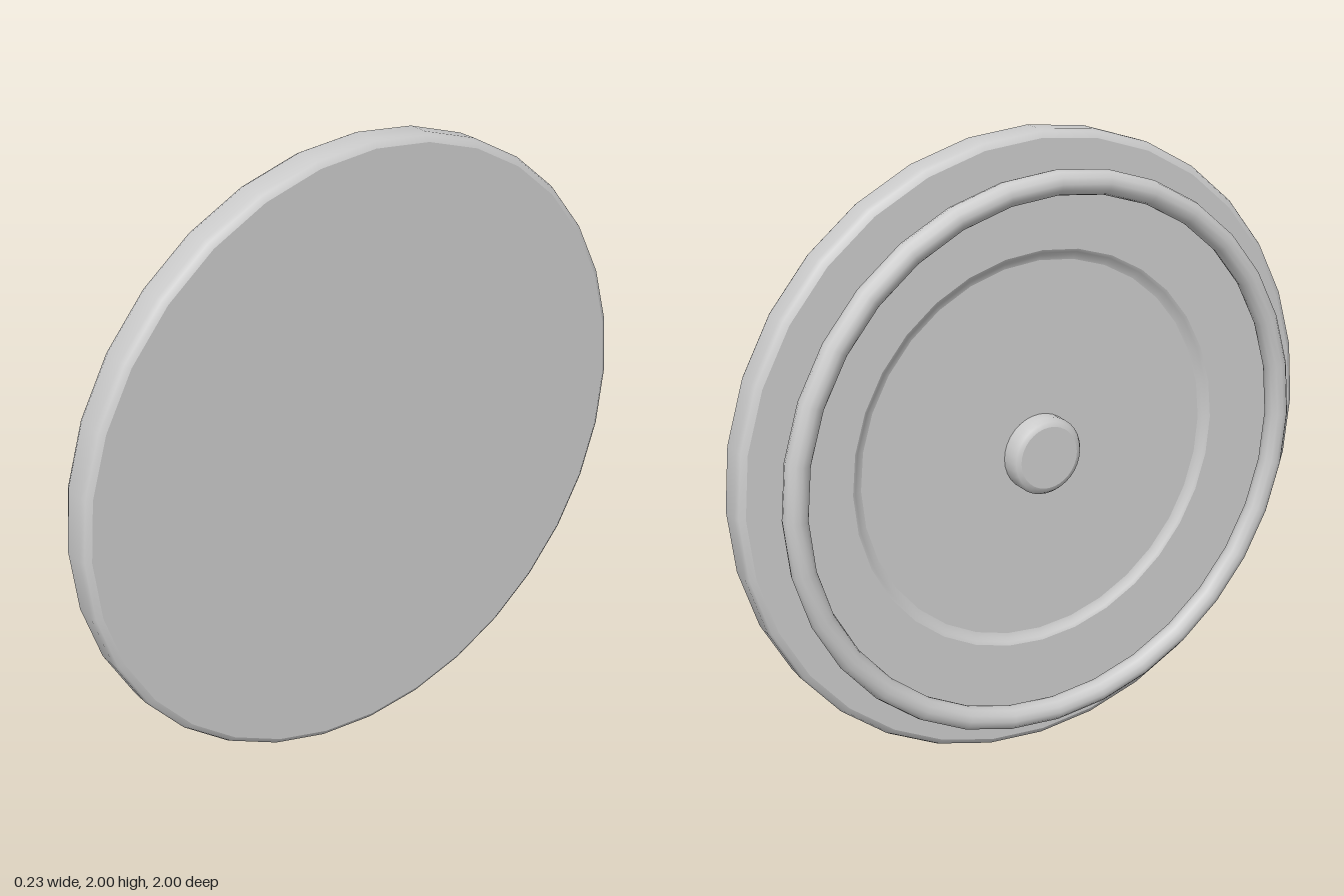
import * as THREE from 'three';
import { mergeGeometries } from 'three/addons/utils/BufferGeometryUtils.js';

const SEGMENTS = 32;
const material = new THREE.MeshStandardMaterial({ color: 0xcccccc });

// Revolves [radius, x] profiles about the x axis; shading is creased between profiles.
function turned(name, ...profiles) {
  const parts = profiles.map((profile) => {
    const points = profile.map(([r, x]) => new THREE.Vector2(r, x));
    return new THREE.LatheGeometry(points, SEGMENTS).rotateZ(-Math.PI / 2);
  });
  const mesh = new THREE.Mesh(mergeGeometries(parts), material);
  mesh.name = name;
  return mesh;
}

export function createModel() {
  const model = new THREE.Group();
  model.name = 'roundDisc';

  // Thick disc with a rounded rim and a shallow recess in its -x face
  const disc = turned('disc',
    [[0, 0.02], [0.61, 0.02]],
    [[0.61, 0.02], [0.625, 0.015], [0.635, 0.005], [0.645, 0]],
    [[0.645, 0], [0.975, 0]],
    [[0.975, 0], [0.993, 0.01], [1, 0.025], [1, 0.089], [0.993, 0.104], [0.975, 0.114]],
    [[0.975, 0.114], [0, 0.114]],
  );

  // Small bevelled button in the middle of the recess
  const hub = turned('hub',
    [[0, -0.04], [0.1, -0.04]],
    [[0.1, -0.04], [0.115, -0.034], [0.125, -0.02], [0.125, 0.02]],
  );

  // Round ring held clear of the disc
  const ring = new THREE.Mesh(
    new THREE.TorusGeometry(0.8595, 0.0375, 12, SEGMENTS).rotateY(Math.PI / 2),
    material,
  );
  ring.name = 'ring';
  ring.position.x = -0.0765;

  model.add(disc, hub, ring);
  model.children.forEach((part) => { part.position.y = 1; });
  return model;
}
